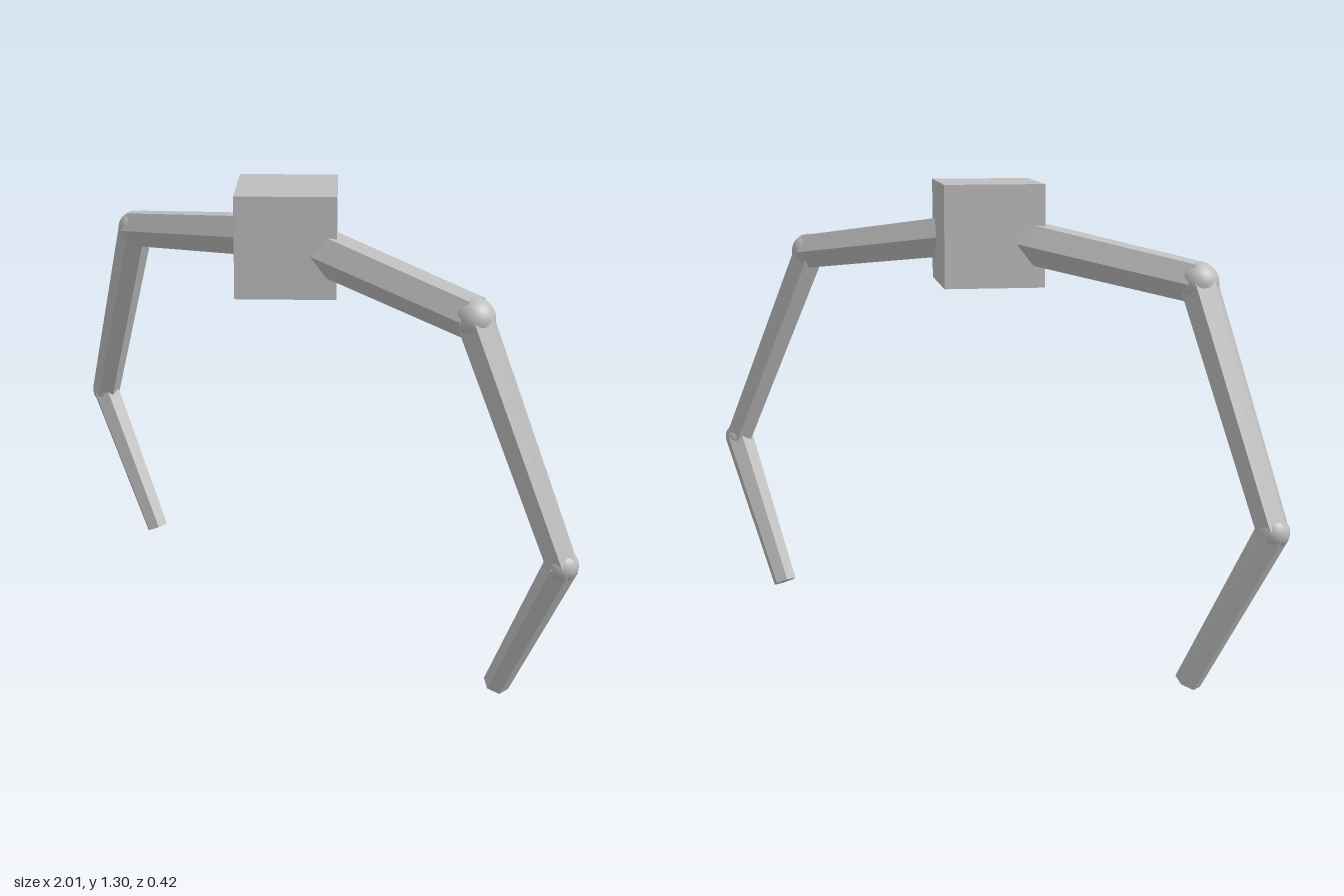
import * as THREE from 'three';

const grey = new THREE.MeshStandardMaterial({ color: 0xbfbfbf });
grey.name = 'plain grey';

// Tapered hexagonal bar from a to b, with one corner towards +z before the twist
function bar(name, a, b, ra, rb, twist) {
  const dir = b.clone().sub(a);
  const length = dir.length();
  let geo = new THREE.CylinderGeometry(rb, ra, length, 6, 1);
  geo.rotateY(twist);
  geo = geo.toNonIndexed();
  geo.computeVertexNormals(); // flat facets
  const y = dir.normalize();
  const z = new THREE.Vector3(0, 0, 1);
  z.addScaledVector(y, -z.dot(y)).normalize();
  const x = new THREE.Vector3().crossVectors(y, z);
  geo.applyMatrix4(new THREE.Matrix4().makeBasis(x, y, z).setPosition(a.clone().add(b).multiplyScalar(0.5)));
  const mesh = new THREE.Mesh(geo, grey);
  mesh.name = name;
  return mesh;
}

// Smooth ball at a joint
function ball(name, p, r) {
  const mesh = new THREE.Mesh(new THREE.SphereGeometry(r, 24, 16), grey);
  mesh.position.copy(p);
  mesh.name = name;
  return mesh;
}

// Three-part arm on one side (s = 1 left, -1 right)
function arm(s) {
  const group = new THREE.Group();
  group.name = s > 0 ? 'leftArm' : 'rightArm';
  const root = new THREE.Vector3(s * 0.1, 1.147, -0.002);
  const elbow = new THREE.Vector3(s * 0.69, 1.066, -0.002);
  const wrist = new THREE.Vector3(s * 0.96, 0.455, -0.064);
  const tip = new THREE.Vector3(s * 0.74, 0.014, -0.094);
  group.add(
    bar('upperArm', root, elbow, 0.065, 0.058, 0),
    ball('elbowJoint', elbow, 0.054),
    bar('forearm', elbow, wrist, 0.053, 0.0445, -s * THREE.MathUtils.degToRad(38)),
    ball('wristJoint', wrist, 0.043),
    bar('lowerArm', wrist, tip, 0.045, 0.036, 0),
  );
  return group;
}

export function createModel() {
  const model = new THREE.Group();
  model.name = 'cubeWithArms';

  // Central block, turned corner-on
  const body = new THREE.Mesh(new THREE.BoxGeometry(0.31, 0.285, 0.28), grey);
  body.name = 'body';
  body.position.set(0, 1.161, 0);
  body.rotation.y = -Math.PI / 4;
  model.add(body);

  for (const s of [1, -1]) model.add(arm(s));
  return model;
}
